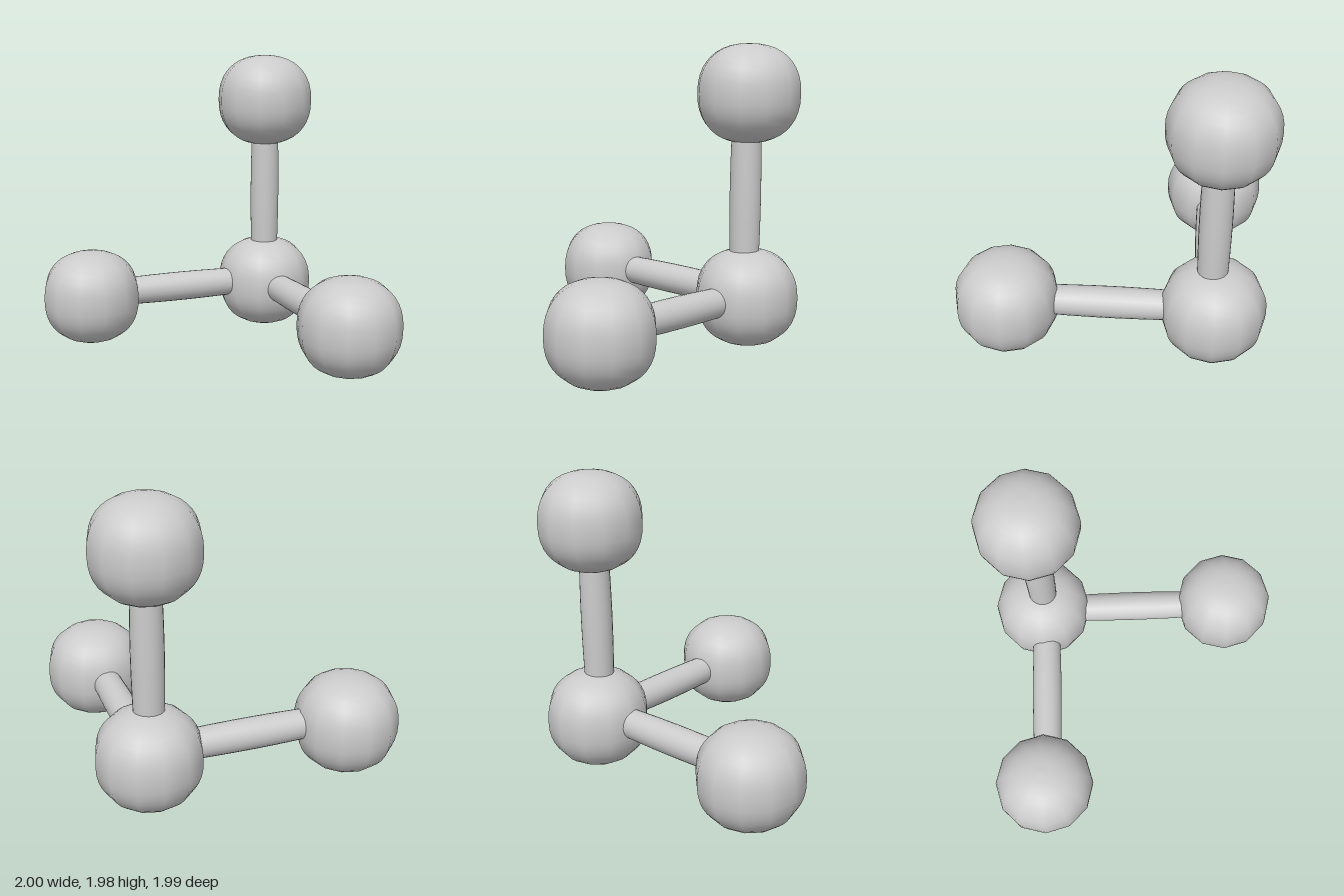
import * as THREE from 'three';

const material = new THREE.MeshStandardMaterial({ color: 0xcccccc });

// Slightly boxy ball: a superellipse profile turned with twelve sides
function ballGeometry(radius, halfHeight, power = 2.3, rings = 20) {
  const bend = (v) => Math.sign(v) * Math.abs(v) ** (2 / power);
  const profile = [];
  for (let i = 0; i <= rings; i++) {
    const a = -Math.PI / 2 + (Math.PI * i) / rings;
    const r = i === 0 || i === rings ? 0 : radius * bend(Math.cos(a));
    profile.push(new THREE.Vector2(r, halfHeight * bend(Math.sin(a))));
  }
  return new THREE.LatheGeometry(profile, 12);
}

// Round rod that swells a little towards its middle
function rodGeometry(length, endRadius, midRadius, steps = 8) {
  const profile = [new THREE.Vector2(0, -length / 2)];
  for (let i = 0; i <= steps; i++) {
    const t = i / steps;
    const r = endRadius + (midRadius - endRadius) * Math.sin(Math.PI * t);
    profile.push(new THREE.Vector2(r, (t - 0.5) * length));
  }
  profile.push(new THREE.Vector2(0, length / 2));
  return new THREE.LatheGeometry(profile, 24);
}

export function createModel() {
  const model = new THREE.Group();
  const add = (name, geometry, position, rotation = [0, 0, 0]) => {
    const mesh = new THREE.Mesh(geometry, material);
    mesh.name = name;
    mesh.position.set(...position);
    mesh.rotation.set(...rotation);
    model.add(mesh);
  };

  // Corner ball and the three balls around it
  const ball = ballGeometry(0.336, 0.32);
  add('cornerBall', ball, [0.66, 0.33, -0.66]);
  add('sideBall', ball, [-0.664, 0.33, -0.66]);
  add('upperBall', ball, [0.65, 1.667, -0.655]);
  add('frontBall', ball, [0.66, 0.33, 0.66]);

  // Rods joining each outer ball to the corner
  const rod = rodGeometry(1.0, 0.093, 0.102);
  add('sideRod', rod, [0, 0.347, -0.637], [0, 0, Math.PI / 2]);
  add('uprightRod', rod, [0.65, 1.0, -0.643]);
  add('frontRod', rod, [0.65, 0.33, 0], [Math.PI / 2, 0, 0]);

  return model;
}
